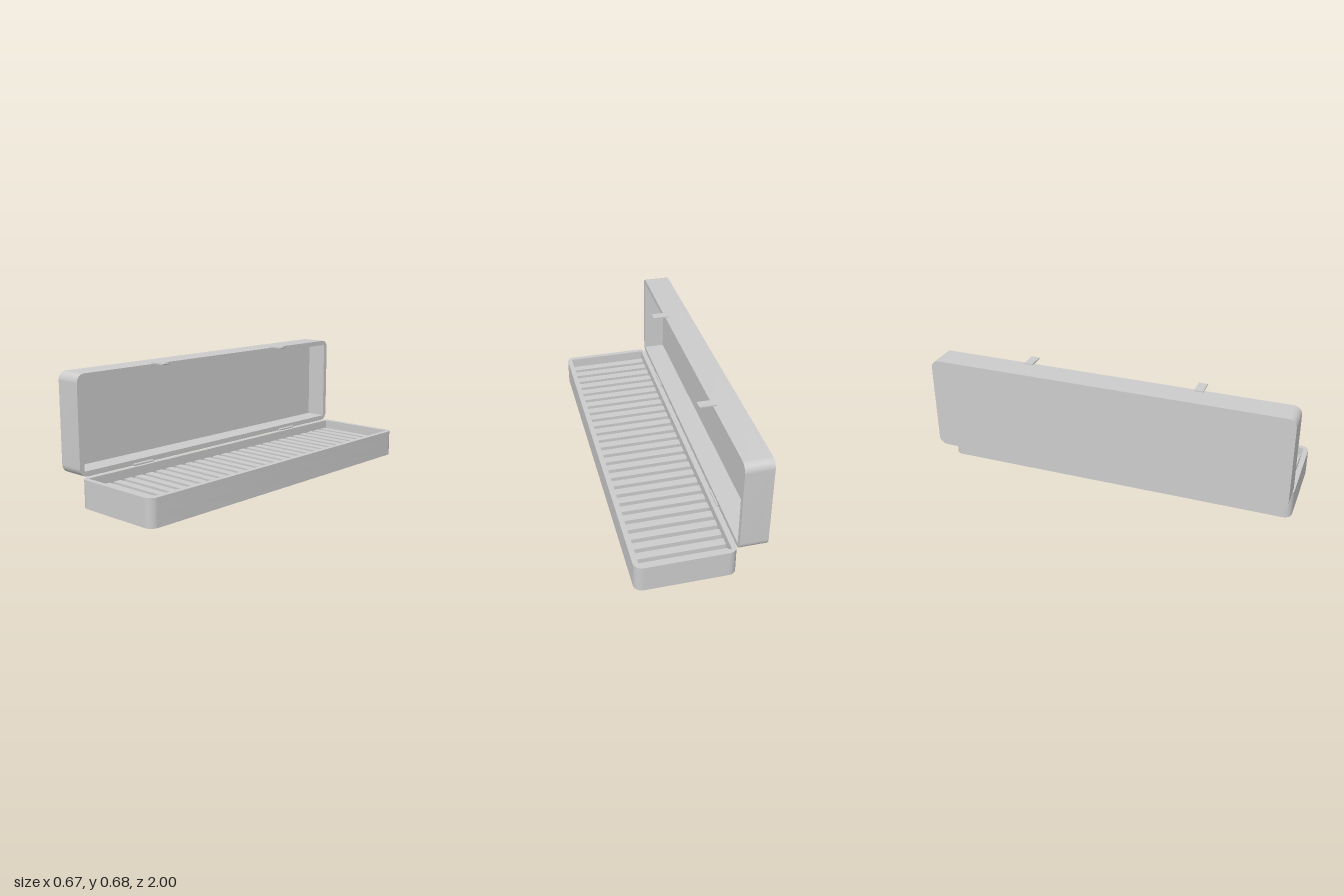
import * as THREE from 'three';
import { toCreasedNormals } from 'three/addons/utils/BufferGeometryUtils.js';

const W = 0.522, L = 2, H = 0.148, R = 0.045, WALL = 0.028;
const material = new THREE.MeshStandardMaterial({ color: 0xcccccc });

function mesh(name, geometry, parent) {
  const m = new THREE.Mesh(geometry, material);
  m.name = name;
  parent.add(m);
  return m;
}

// Rounded rectangle in the ground plane
function roundedRect(w, l, r) {
  const s = new THREE.Shape(), a = w / 2 - r, b = l / 2 - r;
  s.absarc(a, b, r, 0, Math.PI / 2);
  s.absarc(-a, b, r, Math.PI / 2, Math.PI);
  s.absarc(-a, -b, r, Math.PI, Math.PI * 1.5);
  s.absarc(a, -b, r, Math.PI * 1.5, Math.PI * 2);
  s.closePath();
  return s;
}

function slab(shape, y, height) {
  const g = new THREE.ExtrudeGeometry(shape, { depth: height, bevelEnabled: false, curveSegments: 10 });
  g.rotateX(-Math.PI / 2).translate(0, y, 0);
  return toCreasedNormals(g, 0.6);
}

// Open tray: solid floor and a rim with a square-cornered cavity
function tray(name, floor) {
  const group = new THREE.Group();
  group.name = name;
  const rim = roundedRect(W, L, R);
  const a = W / 2 - WALL, b = L / 2 - WALL;
  rim.holes.push(new THREE.Path([
    new THREE.Vector2(-a, -b), new THREE.Vector2(-a, b),
    new THREE.Vector2(a, b), new THREE.Vector2(a, -b),
  ]));
  mesh(name + 'Floor', slab(roundedRect(W, L, R), 0, floor), group);
  mesh(name + 'Walls', slab(rim, floor, H - floor), group);
  return group;
}

export function createModel() {
  const model = new THREE.Group();
  model.name = 'hingedCase';

  // Base tray with a row of cross ribs
  const base = tray('base', 0.07);
  base.position.x = 0.074;
  model.add(base);
  const count = 27, pitch = (L - 2 * WALL) / count;
  const ribs = new THREE.Group();
  ribs.name = 'ribs';
  base.add(ribs);
  for (let i = 0; i < count; i++) {
    const rib = mesh('rib', new THREE.BoxGeometry(W - 2 * WALL, 0.03, pitch * 0.63), ribs);
    rib.position.set(0, 0.085, (i - (count - 1) / 2) * pitch);
  }

  // Lid standing open at a right angle
  const lid = tray('lid', WALL);
  lid.rotation.z = -Math.PI / 2;
  lid.position.set(-0.335, 0.411, 0);
  model.add(lid);

  // Clasp tab profile with a slanted tip
  const tab = new THREE.Shape([
    [-0.207, 0.671], [-0.121, 0.671], [-0.115, 0.675], [-0.115, 0.678], [-0.207, 0.678],
  ].map(([x, y]) => new THREE.Vector2(x, y)));

  for (const side of [-1, 1]) {
    const clasp = mesh('clasp', new THREE.ExtrudeGeometry(tab, { depth: 0.048, bevelEnabled: false }), model);
    clasp.position.z = side * 0.475 - 0.024;

    // Hinge barrel along the shared edge
    const hinge = mesh('hinge', new THREE.CylinderGeometry(0.008, 0.008, 0.132, 16), model);
    hinge.rotation.x = Math.PI / 2;
    hinge.position.set(-0.187, 0.152, side * 0.59);
  }
  return model;
}
